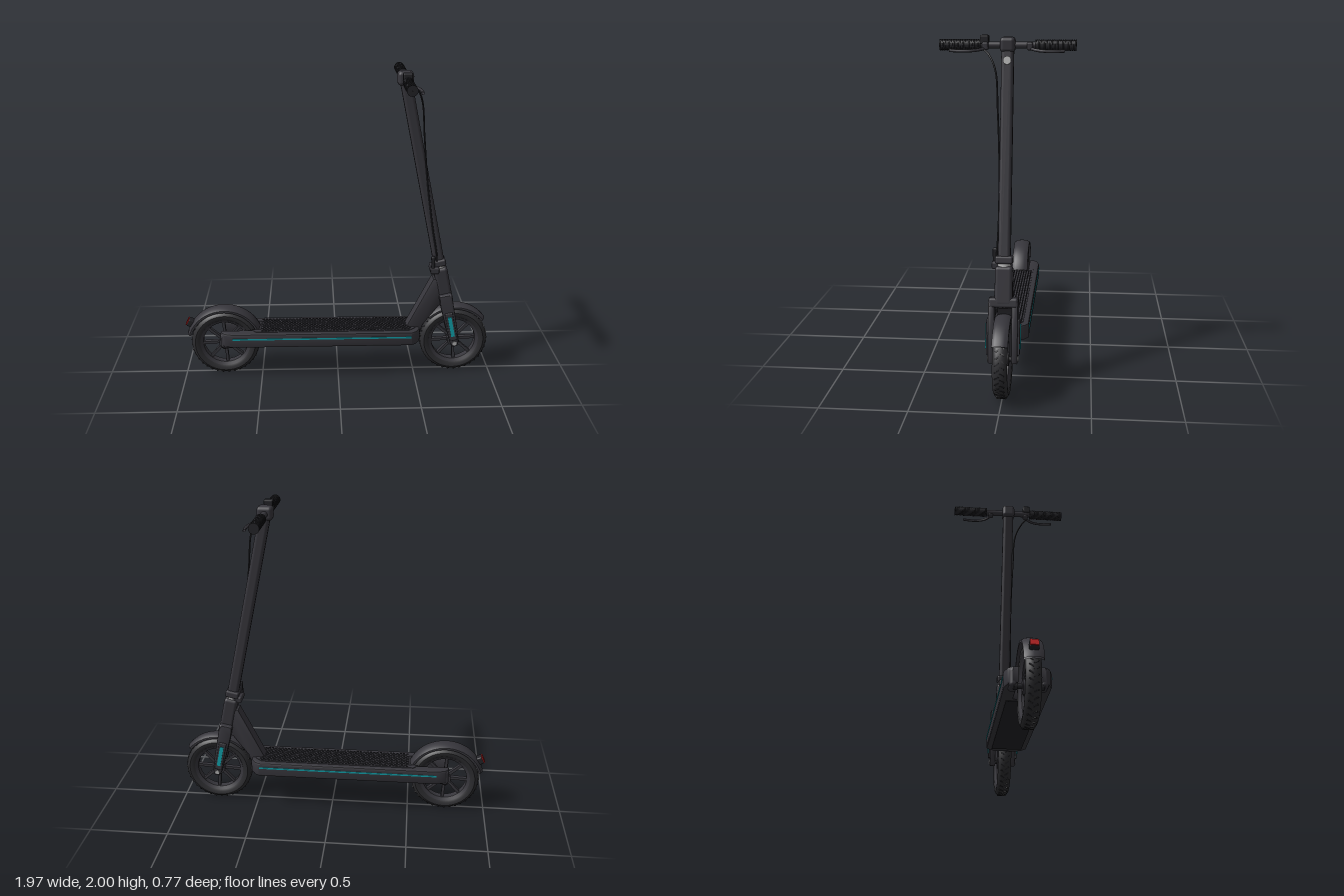
import * as THREE from 'three';
import { mergeGeometries, toCreasedNormals } from 'three/addons/utils/BufferGeometryUtils.js';
import { RoundedBoxGeometry } from 'three/addons/geometries/RoundedBoxGeometry.js';

const mat = (name, color) => new THREE.MeshStandardMaterial({ name, color, side: THREE.DoubleSide });
const V = (x, y, z) => new THREE.Vector3(x, y, z);

export function createModel() {
  const body = mat('charcoal body', 0x37363c);
  const rubber = mat('tyre rubber', 0x2d2d30);
  const dark = mat('dark trim', 0x232327);
  const teal = mat('teal accent', 0x12a3ad);
  const red = mat('red lens', 0xb41c1c);
  const silver = mat('silver', 0xb4b4b4);

  const root = new THREE.Group();
  root.name = 'scooter';
  const add = (parent, name, geo, material, x = 0, y = 0, z = 0) => {
    const m = new THREE.Mesh(geo, material);
    m.name = name;
    m.position.set(x, y, z);
    parent.add(m);
    return m;
  };
  const rbox = (w, h, d, r = 0.01) => new RoundedBoxGeometry(w, h, d, 2, r);
  const cylZ = (r, len, n = 24) => new THREE.CylinderGeometry(r, r, len, n).rotateX(Math.PI / 2);
  const tube = (pts, r) => new THREE.TubeGeometry(
    new THREE.CatmullRomCurve3(pts.map(p => V(...p))), 40, r, 8);
  const shape = pts => new THREE.Shape(pts.map(p => new THREE.Vector2(...p)));
  // Plate in the xy plane, centred on z = 0
  const plate = (s, depth, bevel = 0.006) => toCreasedNormals(new THREE.ExtrudeGeometry(s, {
    depth: depth - 2 * bevel, bevelEnabled: bevel > 0, bevelSize: bevel, bevelOffset: -bevel,
    bevelThickness: bevel, bevelSegments: 2,
  }).translate(0, 0, bevel - depth / 2), 0.6);
  // Closed (radius, width) profile swept about the z axis between two angles
  const sweep = (pts, a = 0, b = Math.PI * 2, n = 64) => toCreasedNormals(new THREE.LatheGeometry(
    [...pts, pts[0]].map(p => new THREE.Vector2(...p)), n, a + Math.PI / 2, b - a)
    .rotateX(Math.PI / 2), 0.6);
  const rad = THREE.MathUtils.degToRad;

  // Wheels
  const AXLE = 0.222, FRONT = 0.76, REAR = -0.737;
  const makeWheel = (name, x) => {
    const g = new THREE.Group();
    g.name = name;
    g.position.set(x, AXLE, 0);
    root.add(g);
    add(g, 'tyre', sweep([[0.16, -0.03], [0.175, -0.04], [0.195, -0.042], [0.21, -0.033],
      [0.218, -0.018], [0.22, 0], [0.218, 0.018], [0.21, 0.033], [0.195, 0.042],
      [0.175, 0.04], [0.16, 0.03]]), rubber);
    add(g, 'rim', sweep([[0.143, -0.022], [0.163, -0.034], [0.163, 0.034], [0.143, 0.022]]), body);
    add(g, 'hub', cylZ(0.04, 0.07), body);
    add(g, 'axle', cylZ(0.014, 0.13, 12), dark);
    const spokes = [], tread = [];
    for (let i = 0; i < 8; i++)
      spokes.push(new THREE.BoxGeometry(0.12, 0.018, 0.026).translate(0.09, 0, 0)
        .rotateZ(i * Math.PI / 4 + 0.06));
    for (let i = 0; i < 36; i++) for (const s of [-1, 1])
      tread.push(new THREE.BoxGeometry(0.005, 0.008, 0.028).rotateX(s * 0.6)
        .translate(0.2185, 0, s * 0.013).rotateZ((i + (s > 0 ? 0.5 : 0)) * Math.PI / 18));
    add(g, 'spokes', mergeGeometries(spokes), body);
    add(g, 'tread', mergeGeometries(tread), dark);
  };
  makeWheel('frontWheel', FRONT);
  makeWheel('rearWheel', REAR);

  // Arched mudguards
  const guard = w => [[0.225, -w], [0.238, -w], [0.25, -w * 0.6], [0.253, 0], [0.25, w * 0.6],
    [0.238, w], [0.225, w], [0.236, w * 0.6], [0.24, 0], [0.236, -w * 0.6]];
  add(root, 'frontMudguard', sweep(guard(0.045), rad(38), rad(135), 32), body, FRONT, AXLE, 0);
  add(root, 'rearMudguard', sweep(guard(0.053), rad(25), rad(164), 40), body, REAR, AXLE, 0);

  // Tail light
  const tail = new THREE.Group();
  tail.name = 'tailLight';
  tail.position.set(-0.958, 0.36, 0);
  tail.rotation.z = -0.45;
  root.add(tail);
  add(tail, 'tailHousing', rbox(0.04, 0.05, 0.05, 0.008), dark);
  add(tail, 'tailLens', new THREE.BoxGeometry(0.008, 0.04, 0.046), red, -0.022, 0, 0);

  // Deck with a slot for the rear wheel
  const half = [[-0.5, 0.056], [-0.76, 0.056], [-0.76, 0.085], [-0.735, 0.112], [-0.68, 0.128],
    [0.475, 0.128], [0.505, 0.108], [0.53, 0.07]];
  const outline = [...half, ...half.map(([x, z]) => [x, -z]).reverse()].reverse();
  add(root, 'deck', plate(shape(outline), 0.095, 0.012).rotateX(-Math.PI / 2), body, 0, 0.279, 0);
  add(root, 'deckUnderside', new THREE.BoxGeometry(0.94, 0.006, 0.19), dark, -0.01, 0.231, 0);
  const matHalf = [[-0.5, 0.06], [-0.56, 0.06], [-0.53, 0.095], [0.46, 0.095], [0.5, 0.06]];
  add(root, 'deckMat', plate(shape([...matHalf, ...matHalf.map(([x, z]) => [x, -z]).reverse()].reverse()),
    0.006, 0).rotateX(-Math.PI / 2), body, 0, 0.327, 0);
  const studs = [];
  for (let r = 0; r < 11; r++) for (let c = 0; c < 44; c++)
    studs.push(new THREE.BoxGeometry(0.014, 0.005, 0.007)
      .translate(-0.49 + c * 0.022 + (r % 2) * 0.011, 0.332, (r - 5) * 0.0165));
  add(root, 'matStuds', mergeGeometries(studs), dark);
  for (const s of [-1, 1]) {
    add(root, 'deckStripe', new THREE.BoxGeometry(1.15, 0.01, 0.005), teal, -0.105, 0.293, s * 0.1285);
    add(root, 'rearArm', rbox(0.11, 0.105, 0.045, 0.02), body, -0.705, 0.268, s * 0.081);
    add(root, 'rearAxleCap', cylZ(0.02, 0.02, 12), dark, REAR, AXLE, s * 0.07);
  }

  // Neck joining the deck to the steering column
  add(root, 'neck', plate(shape([[0.43, 0.3], [0.53, 0.26], [0.555, 0.34], [0.65, 0.47],
    [0.7, 0.5], [0.67, 0.66], [0.61, 0.665]]), 0.09, 0.012), body);

  // Steering assembly, tilted about the front axle
  const steer = new THREE.Group();
  steer.name = 'steering';
  steer.position.set(FRONT, AXLE, 0);
  steer.rotation.z = Math.atan(0.209);
  root.add(steer);
  const leg = shape([[-0.028, 0.005], [-0.016, -0.025], [0.016, -0.025], [0.028, 0.005],
    [0.036, 0.1], [0.04, 0.32], [0.025, 0.345], [-0.04, 0.345], [-0.045, 0.28], [-0.036, 0.1]]);
  for (const s of [-1, 1]) {
    add(steer, 'forkLeg', plate(leg, 0.036), body, 0, 0, s * 0.066);
    add(steer, 'forkCover', rbox(0.05, 0.2, 0.014, 0.006), body, -0.002, 0.125, s * 0.088);
    add(steer, 'forkAccent', new THREE.BoxGeometry(0.024, 0.14, 0.008), teal, -0.002, 0.128, s * 0.096);
    add(steer, 'axleNut', cylZ(0.015, 0.014, 6), silver, 0, 0, s * 0.082);
  }
  add(steer, 'forkCrown', rbox(0.085, 0.055, 0.165, 0.014), body, 0, 0.32, 0);
  add(steer, 'headTube', rbox(0.088, 0.22, 0.1, 0.02), body, 0, 0.415, 0);
  add(steer, 'headRing', new THREE.CylinderGeometry(0.038, 0.038, 0.02, 24), silver, 0, 0.53, 0);
  add(steer, 'stemClamp', rbox(0.085, 0.045, 0.1, 0.012), body, 0, 0.56, 0);
  add(steer, 'stem', rbox(0.07, 1.2, 0.07, 0.02), body, 0, 1.15, 0);
  add(steer, 'headlight', new THREE.CylinderGeometry(0.023, 0.023, 0.012, 24).rotateZ(Math.PI / 2),
    silver, 0.037, 1.67, 0);

  // Folding latch
  add(root, 'latchLever', rbox(0.022, 0.11, 0.03, 0.008), dark, 0.603, 0.77, 0.055);
  add(root, 'latchBlock', rbox(0.055, 0.04, 0.11, 0.008), body, 0.615, 0.73, 0.018);

  // Handlebar, grips and brake levers
  const BX = 0.4, BY = 1.945;
  add(root, 'handlebarHead', rbox(0.095, 0.085, 0.085, 0.022), body, BX, 1.948, 0);
  add(root, 'handlebar', cylZ(0.02, 0.6), body, BX, BY, 0);
  const ribs = [[0.001, -0.115]];
  for (let i = 0; i <= 22; i++) {
    const y = -0.115 + i * 0.0102;
    ribs.push([0.032, y], [0.032, y + 0.005]);
    if (i < 22) ribs.push([0.028, y + 0.006], [0.028, y + 0.0095]);
  }
  ribs.push([0.001, 0.115]);
  const gripGeo = toCreasedNormals(new THREE.LatheGeometry(
    ribs.map(p => new THREE.Vector2(...p)), 20).rotateX(Math.PI / 2), 0.6);
  for (const s of [-1, 1]) {
    add(root, 'grip', gripGeo, dark, BX, BY, s * 0.268);
    add(root, 'leverMount', rbox(0.05, 0.045, 0.035, 0.01), body, BX + 0.01, BY - 0.005, s * 0.125);
    add(root, 'brakeLever', tube([[0.41, 1.93, s * 0.12], [0.445, 1.922, s * 0.15],
      [0.465, 1.917, s * 0.19], [0.472, 1.915, s * 0.25], [0.466, 1.917, s * 0.32]], 0.0085), body);
  }
  add(root, 'bell', rbox(0.055, 0.05, 0.048, 0.008), dark, BX, 1.975, 0.13);

  // Brake cable running down beside the stem
  add(root, 'brakeCable', tube([[0.42, 1.925, 0.14], [0.465, 1.895, 0.1], [0.5, 1.81, 0.06],
    [0.52, 1.6, 0.047], [0.552, 1.3, 0.036], [0.595, 1.0, 0.036], [0.625, 0.83, 0.042],
    [0.63, 0.74, 0.045]], 0.005), dark);
  return root;
}
